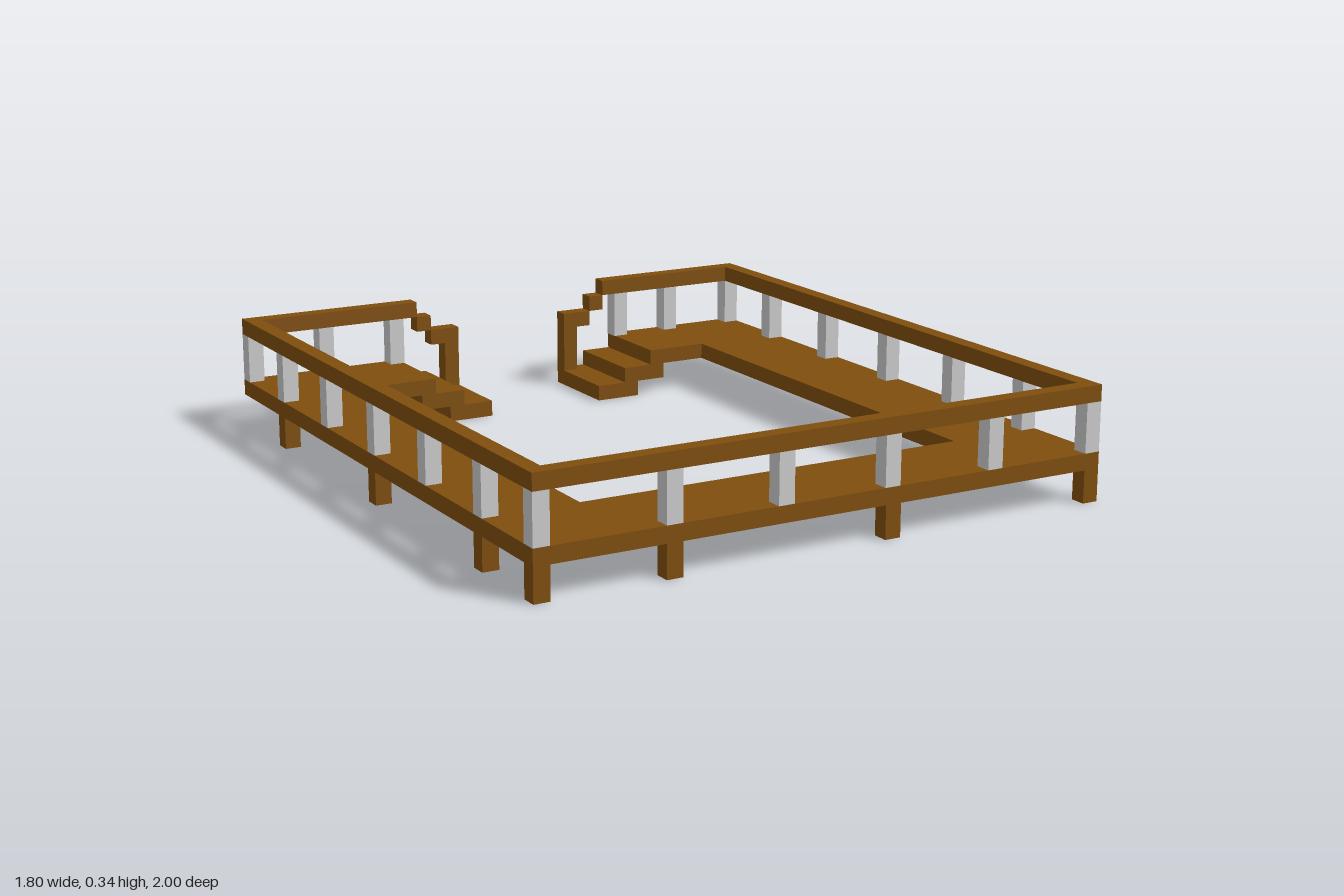
import * as THREE from 'three';

const U = 0.049;            // timber thickness, also the height of one step
const X = 0.9, Z = 1;       // outer half sizes
const IN_X = 0.61, IN_Z = 0.707; // inner edge of the walkway

const wood = new THREE.MeshStandardMaterial({ color: 0x7f4e0e });
wood.name = 'brownWood';
const white = new THREE.MeshStandardMaterial({ color: 0xcccccc });
white.name = 'paleGrey';

// Box given by its minimum and maximum corners
function box(name, material, x0, x1, y0, y1, z0, z1) {
  const mesh = new THREE.Mesh(new THREE.BoxGeometry(x1 - x0, y1 - y0, z1 - z0), material);
  mesh.position.set((x0 + x1) / 2, (y0 + y1) / 2, (z0 + z1) / 2);
  mesh.name = name;
  return mesh;
}

// Square upright centred on x, z
function upright(name, material, x, z, y0, y1) {
  return box(name, material, x - U / 2, x + U / 2, y0, y1, z - U / 2, z + U / 2);
}

// Flat ring, open at the back between x = left and x = right
function openRing(name, innerX, innerZ, left, right, y) {
  const points = [
    [left, Z], [-X, Z], [-X, -Z], [X, -Z], [X, Z], [right, Z],
    [right, innerZ], [innerX, innerZ], [innerX, -innerZ],
    [-innerX, -innerZ], [-innerX, innerZ], [left, innerZ],
  ].map(([x, v]) => new THREE.Vector2(x, v));
  const geometry = new THREE.ExtrudeGeometry(new THREE.Shape(points), { depth: U, bevelEnabled: false });
  geometry.rotateX(-Math.PI / 2);
  const mesh = new THREE.Mesh(geometry, wood);
  mesh.position.y = y;
  mesh.name = name;
  return mesh;
}

// Two steps and a stepped handrail; end is the open side, dir points to the gap
function stairs(name, end, dir) {
  const group = new THREE.Group();
  group.name = name;
  const add = (part, a, b, y0, y1, z1) => {
    const xa = end - dir * a, xb = end - dir * b;
    group.add(box(part, wood, Math.min(xa, xb), Math.max(xa, xb), y0 * U, y1 * U, -Z, z1));
  };
  add('lowerStep', 0, 3 * U, 0, 1, -IN_Z);
  add('upperStep', 2 * U, 5 * U, 1, 2, -IN_Z);
  add('newelPost', 0, U, 1, 4, -Z + U);
  add('lowerHandrail', 0, 2 * U, 4, 5, -Z + U);
  add('upperHandrail', 2 * U, 3 * U, 5, 6, -Z + U);
  return group;
}

export function createModel() {
  const model = new THREE.Group();
  model.name = 'raisedWalkway';
  const edgeX = X - U / 2, edgeZ = Z - U / 2;
  const leftEnd = -0.174, rightEnd = 0.218; // gap at the back

  model.add(openRing('deck', IN_X, IN_Z, leftEnd - 4 * U, rightEnd + 4 * U, 2 * U));
  model.add(openRing('topRail', X - U, Z - U, leftEnd - 3 * U, rightEnd + 3 * U, 6 * U));
  model.add(stairs('westStairs', leftEnd, 1), stairs('eastStairs', rightEnd, -1));

  // Railing posts
  const post = (x, z) => model.add(upright('railingPost', white, x, z, 3 * U, 6 * U));
  for (const x of [-edgeX, -0.49, -0.15, 0.19, 0.534, edgeX]) post(x, edgeZ);
  for (const x of [-edgeX, -0.637, -0.393, 0.436, 0.63, edgeX]) post(x, -edgeZ);
  for (const side of [-1, 1]) {
    for (const z of [0.686, 0.343, 0, -0.343, -0.686]) post(side * edgeX, z);
  }

  // Legs along the front and both sides
  const leg = (x, z) => model.add(upright('leg', wood, x, z, 0, 2 * U));
  for (const x of [-edgeX, -0.49, 0.193, edgeX]) leg(x, edgeZ);
  for (const side of [-1, 1]) {
    for (const z of [0.686, 0, -0.686]) leg(side * edgeX, z);
  }
  return model;
}
